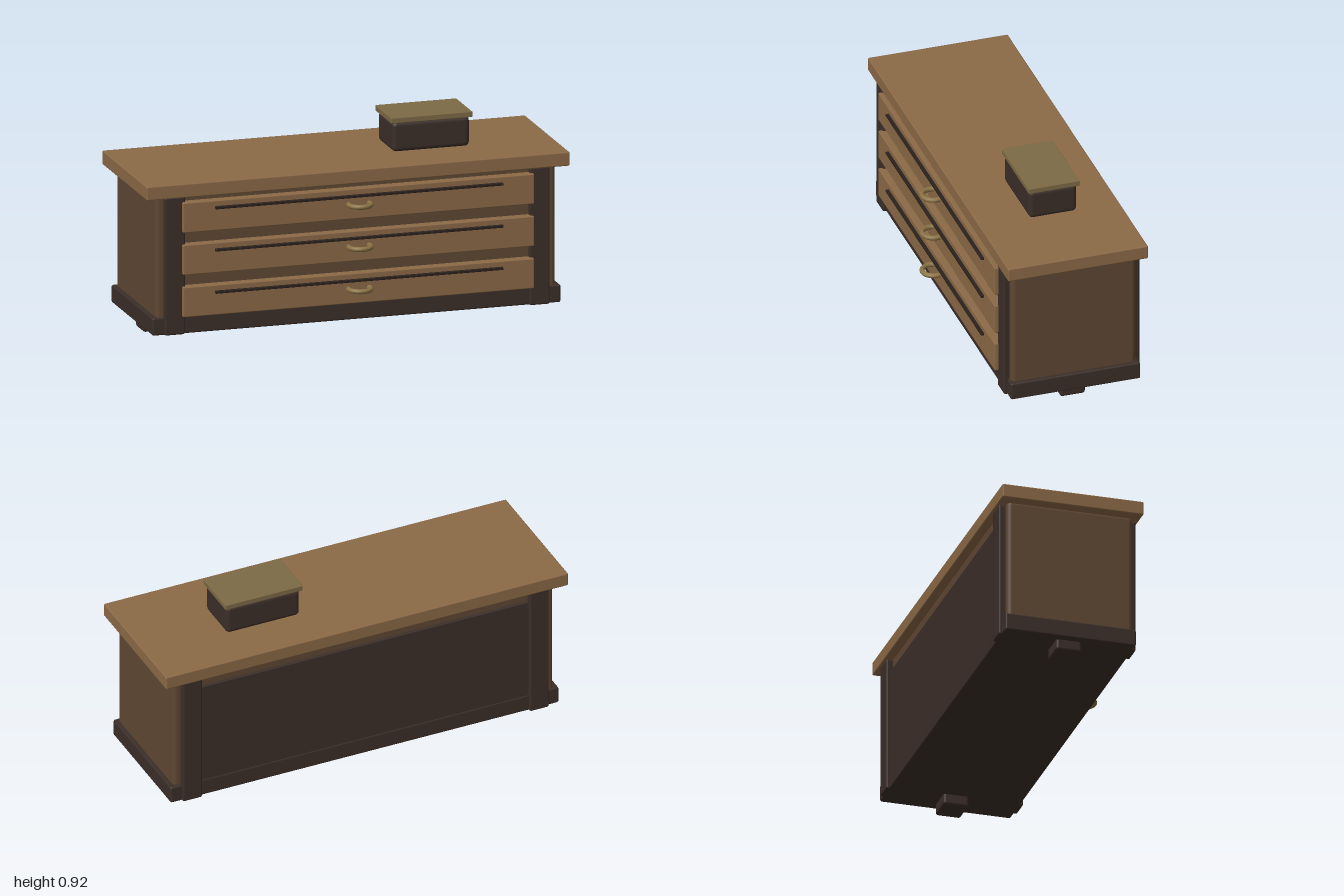
import * as THREE from 'three';
import { RoundedBoxGeometry } from 'three/addons/geometries/RoundedBoxGeometry.js';

const mat = (color) => new THREE.MeshStandardMaterial({ color });
const topWood = mat(0x8b6946);
const bodyWood = mat(0x5f4733);
const darkWood = mat(0x3b2e28);
const slotDark = mat(0x2a211d);
const brass = mat(0x8b7345);
const lidOlive = mat(0x7d6a45);

// Rounded box given by its limits on each axis
function box(parent, name, material, [x0, x1], [y0, y1], [z0, z1], radius) {
  const geometry = new RoundedBoxGeometry(x1 - x0, y1 - y0, z1 - z0, 3, radius);
  const mesh = new THREE.Mesh(geometry, material);
  mesh.position.set((x0 + x1) / 2, (y0 + y1) / 2, (z0 + z1) / 2);
  mesh.name = name;
  parent.add(mesh);
  return mesh;
}

export function createModel() {
  const model = new THREE.Group();
  model.name = 'drawerChest';

  // Main body, plinth and top
  box(model, 'carcass', bodyWood, [-0.945, 0.945], [0.06, 0.7], [-0.335, 0.255], 0.02);
  box(model, 'plinth', darkWood, [-0.965, 0.965], [0.05, 0.132], [-0.35, 0.265], 0.008);
  box(model, 'tableTop', topWood, [-1, 1], [0.69, 0.755], [-0.375, 0.29], 0.006);
  box(model, 'backPanel', darkWood, [-0.82, 0.82], [0.1, 0.635], [-0.347, -0.32], 0.006);

  // Corner posts and feet, mirrored left and right
  for (const [side, label] of [[1, 'left'], [-1, 'right']]) {
    const span = (a, b) => (side > 0 ? [a, b] : [-b, -a]);
    box(model, label + 'FrontPost', darkWood, span(0.815, 0.91), [0.05, 0.692], [0.19, 0.28], 0.008);
    box(model, label + 'BackPost', darkWood, span(0.815, 0.91), [0.05, 0.692], [-0.365, -0.275], 0.008);
    box(model, label + 'Foot', darkWood, span(0.795, 0.93), [0, 0.06], [-0.1, 0.018], 0.012);
  }

  // Three drawers, each with a long dark strip and a flat ring pull
  for (let i = 0; i < 3; i++) {
    const drawer = new THREE.Group();
    drawer.name = 'drawer' + (i + 1);
    drawer.position.y = 0.204 + i * 0.197;
    box(drawer, 'drawerFront', topWood, [-0.83, 0.83], [-0.07, 0.07], [0.24, 0.298], 0.005);
    box(drawer, 'drawerStrip', slotDark, [-0.68, 0.68], [0.032, 0.044], [0.29, 0.312], 0.002);
    const pull = new THREE.Mesh(new THREE.TorusGeometry(0.051, 0.0115, 12, 36), brass);
    pull.name = 'ringPull';
    pull.rotation.x = Math.PI / 2;
    pull.position.z = 0.3125;
    drawer.add(pull);
    model.add(drawer);
  }

  // Small lidded box standing on the top
  const casket = new THREE.Group();
  casket.name = 'smallBox';
  box(casket, 'boxBody', darkWood, [0.238, 0.602], [0.754, 0.892], [-0.17, 0.056], 0.02);
  box(casket, 'boxLid', lidOlive, [0.228, 0.612], [0.891, 0.917], [-0.178, 0.063], 0.003);
  model.add(casket);

  return model;
}
